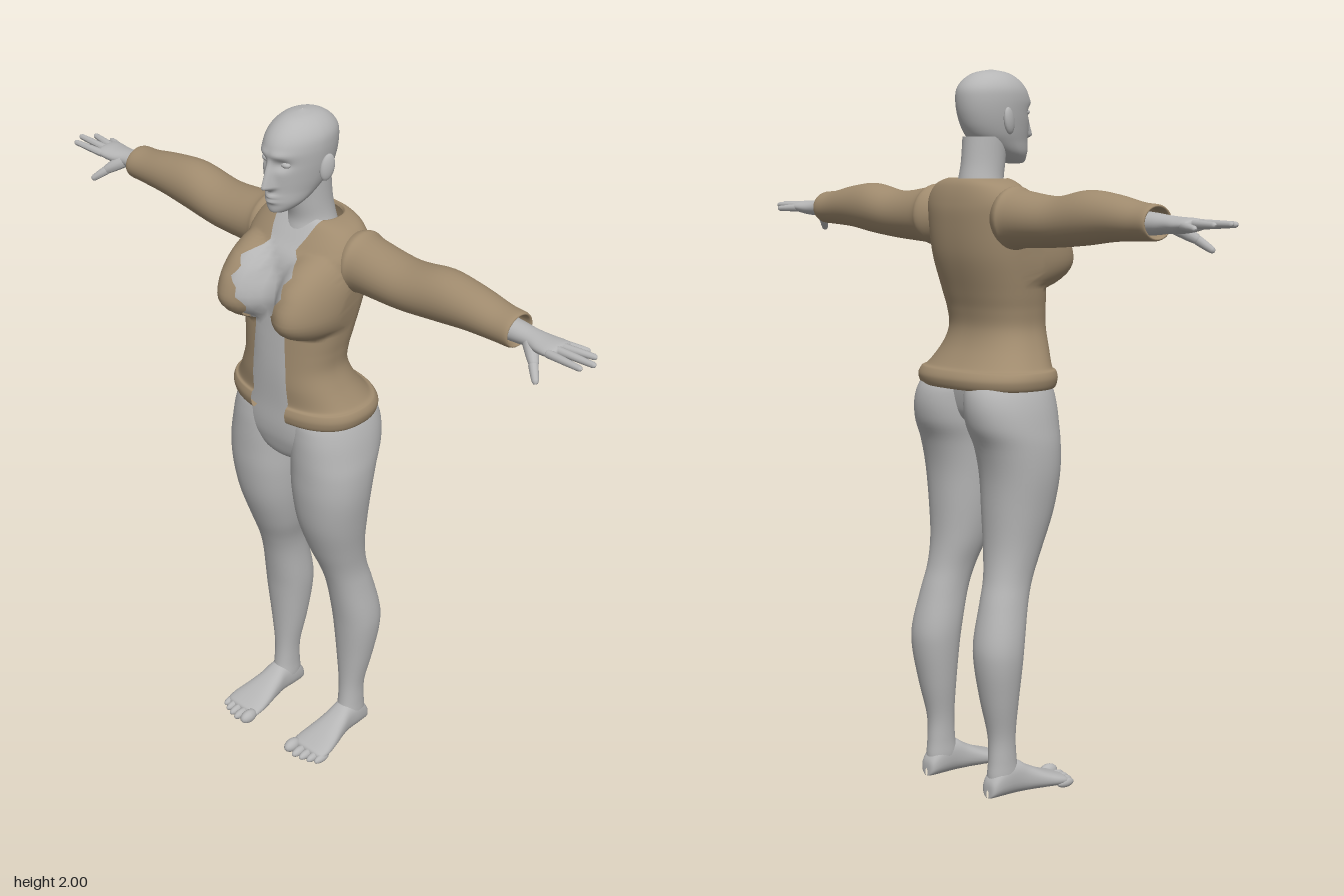
import * as THREE from 'three';
import { mergeVertices } from 'three/addons/utils/BufferGeometryUtils.js';

const skin = new THREE.MeshStandardMaterial({ color: 0xb6b6b6 });
skin.name = 'greySkin';
const cloth = new THREE.MeshStandardMaterial({ color: 0xa08b6e, side: THREE.DoubleSide });
cloth.name = 'tanCloth';

// Smooth surface through rows of numbers; point(row, t) places t = 0..1 around a section.
function loft(rows, point, n = 32, sub = 5) {
  const cr = (a, b, c, d, t) =>
    0.5 * (2 * b + (c - a) * t + (2 * a - 5 * b + 4 * c - d) * t * t + (3 * b - a - 3 * c + d) * t ** 3);
  const at = (i) => rows[Math.max(0, Math.min(rows.length - 1, i))];
  const pos = [], idx = [], count = (rows.length - 1) * sub;
  for (let k = 0; k <= count; k++) {
    const i = Math.min(Math.floor(k / sub), rows.length - 2), t = k / sub - i;
    const row = rows[0].map((_, c) => cr(at(i - 1)[c], at(i)[c], at(i + 1)[c], at(i + 2)[c], t));
    for (let j = 0; j <= n; j++) pos.push(...point(row, j / n));
  }
  for (let k = 0; k < count; k++) {
    for (let j = 0; j < n; j++) {
      const a = k * (n + 1) + j, b = a + n + 1;
      idx.push(a, a + 1, b + 1, a, b + 1, b);
    }
  }
  let g = new THREE.BufferGeometry();
  g.setAttribute('position', new THREE.Float32BufferAttribute(pos, 3));
  g.setIndex(idx);
  g = mergeVertices(g, 1e-5);
  g.computeVertexNormals();
  return g;
}

// Rounded-box-like ellipse: exponent 2 is an ellipse, larger is squarer.
const bend = (v, e) => Math.sign(v) * Math.abs(v) ** (2 / e);

// Upright section from [y, halfWidth, zFront, zBack], angle 0 at the front.
function ring([y, rx, zf, zb], a, e = 2) {
  return [rx * bend(Math.sin(a), e), y, (zf + zb) / 2 + ((zf - zb) / 2) * bend(Math.cos(a), e)];
}

// Rounded bust, fuller below than above
function bust([x, y, z], a) {
  if (Math.cos(a) < -0.1) return [x, y, z];
  const d = ((Math.abs(x) - 0.105) / 0.092) ** 2 + ((y - 1.49) / (y > 1.49 ? 0.15 : 0.08)) ** 2;
  const f = Math.max(0, 1 - d) ** 0.8;
  return [x + Math.sign(x) * 0.018 * f, y, z + 0.09 * f];
}

function flipX(g) {
  const m = g.clone();
  m.scale(-1, 1, 1);
  const ix = m.index.array;
  for (let i = 0; i < ix.length; i += 3) [ix[i], ix[i + 1]] = [ix[i + 1], ix[i]];
  m.computeVertexNormals();
  return m;
}

// Tapered rounded rod between two points, used for fingers
function rod(p, q, r0, r1) {
  const a = new THREE.Vector3(...p), b = new THREE.Vector3(...q), len = a.distanceTo(b);
  const prof = [[0.001, -r0], [r0 * 0.75, -r0 * 0.6], [r0, 0], [(r0 + r1) / 2, len / 2],
    [r1, len - r1], [r1 * 0.7, len - r1 * 0.3], [0.001, len]];
  const g = new THREE.LatheGeometry(prof.map((v) => new THREE.Vector2(...v)), 12);
  g.applyQuaternion(new THREE.Quaternion().setFromUnitVectors(new THREE.Vector3(0, 1, 0), b.clone().sub(a).normalize()));
  return g.translate(...p);
}

function ball(x, y, z, rx, ry, rz) {
  return new THREE.SphereGeometry(1, 16, 12).scale(rx, ry, rz).translate(x, y, z);
}

export function createModel() {
  const model = new THREE.Group();
  const add = (name, g, mat = skin) => {
    const m = new THREE.Mesh(g, mat);
    m.name = name;
    model.add(m);
  };
  const pair = (name, g, mat = skin) => {
    add('left' + name, g, mat);
    add('right' + name, flipX(g), mat);
  };
  const TAU = Math.PI * 2;

  // Jacket body, open down the front with a ragged edge
  const upper = [
    [1.25, 0.166, 0.117, -0.115], [1.3, 0.148, 0.117, -0.1], [1.35, 0.15, 0.115, -0.106],
    [1.4, 0.158, 0.112, -0.12], [1.5, 0.172, 0.105, -0.148], [1.6, 0.178, 0.085, -0.157],
    [1.65, 0.172, 0.052, -0.154], [1.69, 0.14, 0.022, -0.143], [1.708, 0.09, 0.008, -0.128]];
  const jacket = [
    [1.15, 0.185, 0.09, -0.145], [1.14, 0.208, 0.115, -0.17], [1.165, 0.218, 0.124, -0.179],
    [1.187, 0.212, 0.12, -0.168], [1.198, 0.197, 0.112, -0.15], ...upper, [1.7, 0.08, 0, -0.12]];
  const edge = [[1.1, 0.06], [1.2, 0.065], [1.3, 0.06], [1.42, 0.052], [1.44, 0.066], [1.455, 0.042],
    [1.48, 0.036], [1.5, 0.055], [1.53, 0.058], [1.55, 0.08], [1.575, 0.065], [1.6, 0.085],
    [1.625, 0.06], [1.64, 0.046], [1.67, 0.06], [1.72, 0.075]];
  const openAt = (y) => {
    const i = Math.max(1, edge.findIndex((e) => e[0] > y));
    const [y0, w0] = edge[i - 1], [y1, w1] = edge[i];
    return w0 + ((w1 - w0) * (y - y0)) / (y1 - y0);
  };
  add('jacketBody', loft(jacket, (row, t) => {
    const a0 = Math.asin(Math.min(0.98, openAt(row[0]) / row[1]) ** 1.2);
    const a = a0 + t * (TAU - 2 * a0);
    return bust(ring(row, a, 2.4), a);
  }, 80, 8), cloth);

  // Sleeves: [x, centre y, half height, centre z, half depth], turned in at the cuff
  const tube = ([x, cy, ry, cz, rz], t) => [x, cy + ry * Math.cos(t * TAU), cz + rz * Math.sin(t * TAU)];
  pair('Sleeve', loft([
    [0.13, 1.605, 0.07, -0.065, 0.065], [0.165, 1.605, 0.085, -0.067, 0.082], [0.2, 1.603, 0.077, -0.067, 0.078],
    [0.33, 1.6, 0.067, -0.064, 0.076], [0.45, 1.615, 0.071, -0.065, 0.07], [0.55, 1.617, 0.06, -0.064, 0.063],
    [0.64, 1.611, 0.049, -0.063, 0.055], [0.69, 1.61, 0.046, -0.063, 0.053], [0.692, 1.61, 0.038, -0.063, 0.044],
    [0.66, 1.61, 0.036, -0.063, 0.042]], tube, 32), cloth);

  // Torso and pelvis beneath the jacket
  add('torso', loft([
    [0.98, 0.01, 0.03, 0], [1.0, 0.08, 0.08, -0.04], [1.05, 0.18, 0.1, -0.1], [1.1, 0.198, 0.107, -0.12],
    [1.17, 0.188, 0.106, -0.125],
    ...upper.map(([y, rx, zf, zb]) => [y - 0.004, rx - 0.009, zf - 0.009, zb + 0.009])],
  (row, t) => bust(ring(row, t * TAU, 2.3), t * TAU).map((v, i) => (i === 2 ? v - 0.004 : v)), 64));

  // Neck
  add('neck', loft([[1.6, 0.085, 0.03, -0.12], [1.66, 0.075, 0.022, -0.12], [1.7, 0.061, 0.014, -0.115],
    [1.75, 0.056, 0.022, -0.106], [1.82, 0.056, 0.03, -0.1]], (r, t) => ring(r, t * TAU)));

  // Head with brow, nose, eye sockets, lips and chin shaped from the front
  const bell = (v, s) => Math.exp(-((v / s) ** 2));
  add('head', loft([
    [1.746, 0.004, 0.08, 0.07], [1.75, 0.026, 0.1, 0.03], [1.775, 0.05, 0.104, -0.02], [1.81, 0.063, 0.104, -0.075],
    [1.84, 0.071, 0.106, -0.1], [1.88, 0.078, 0.108, -0.115], [1.92, 0.081, 0.107, -0.12],
    [1.95, 0.077, 0.094, -0.115], [1.975, 0.061, 0.069, -0.094], [1.992, 0.036, 0.036, -0.062],
    [2.0, 0.001, -0.012, -0.014]], (r, t) => {
    const a = t * TAU;
    let [x, y, z] = ring(r, a, 2.1);
    if (Math.cos(a) > 0) {
      const ax = Math.abs(x);
      const slope = y < 1.825 ? bell(y - 1.825, 0.011) : Math.max(0, 1 - (y - 1.825) / 0.075);
      z += 0.031 * slope * bell(x, 0.008 + 0.007 * slope);
      z -= 0.013 * bell(ax - 0.034, 0.02) * bell(y - 1.886, 0.014);
      z += 0.005 * bell(ax - 0.03, 0.028) * bell(y - 1.912, 0.01);
      z += 0.009 * bell(x, 0.022) * (bell(y - 1.796, 0.006) + bell(y - 1.782, 0.006));
      x *= 1 - 0.1 * Math.cos(a);
    }
    return [x, y, z];
  }, 96, 8));
  pair('Eye', ball(0.033, 1.886, 0.08, 0.016, 0.009, 0.012));
  pair('Ear', ball(0, 0, 0, 0.011, 0.037, 0.021).rotateX(-0.2).rotateY(-0.3).translate(0.083, 1.862, -0.02));

  // Legs: [y, inner x, outer x, front z, back z]
  pair('Leg', loft([
    [0.02, 0.11, 0.16, -0.05, -0.125], [0.06, 0.1, 0.169, -0.036, -0.134], [0.11, 0.101, 0.168, -0.045, -0.13],
    [0.18, 0.098, 0.17, -0.05, -0.13], [0.28, 0.083, 0.188, -0.047, -0.152], [0.38, 0.071, 0.203, -0.039, -0.17],
    [0.45, 0.066, 0.204, -0.03, -0.17], [0.55, 0.066, 0.192, -0.01, -0.146], [0.62, 0.058, 0.187, 0.012, -0.126],
    [0.7, 0.036, 0.195, 0.045, -0.115], [0.8, 0.018, 0.212, 0.08, -0.115], [0.9, 0.008, 0.227, 0.097, -0.12],
    [0.98, 0.004, 0.23, 0.101, -0.138], [1.04, 0, 0.224, 0.102, -0.165], [1.1, 0, 0.213, 0.1, -0.173],
    [1.15, 0.002, 0.196, 0.09, -0.158], [1.19, 0.03, 0.17, 0.05, -0.11], [1.2, 0.09, 0.11, -0.02, -0.04]],
  ([y, xi, xo, zf, zb], t) => {
    const [x, , z] = ring([y, (xo - xi) / 2, zf, zb], t * TAU, 2.15);
    return [x + (xi + xo) / 2, y, z];
  }, 40));

  // Feet: [z, centre x, half width, top y]
  pair('Foot', loft([
    [-0.142, 0.135, 0.004, 0.03], [-0.136, 0.135, 0.026, 0.06], [-0.1, 0.135, 0.035, 0.1], [-0.05, 0.136, 0.036, 0.105],
    [-0.01, 0.137, 0.043, 0.083], [0.04, 0.139, 0.055, 0.06], [0.08, 0.14, 0.061, 0.046], [0.108, 0.139, 0.054, 0.036],
    [0.114, 0.139, 0.01, 0.022]], ([z, cx, w, top], t) => {
    const s = bend(Math.sin(t * TAU), 2.4);
    return [cx + w * bend(Math.cos(t * TAU), 2.4), 0.008 + ((top - 0.008) * (1 + s)) / 2, z];
  }));
  [[0.093, 0.122, 0.018], [0.123, 0.122, 0.013], [0.147, 0.117, 0.0125], [0.17, 0.109, 0.012], [0.191, 0.098, 0.012]]
    .forEach(([x, z, r], i) => pair('Toe' + (i + 1), ball(x, 0.004 + r * 1.1, z, r, r * 1.1, 0.03)));

  // Hands: wrist and palm, then fingers and thumb
  pair('Palm', loft([
    [0.6, 1.608, 0.034, -0.063, 0.036], [0.69, 1.607, 0.028, -0.063, 0.032], [0.735, 1.607, 0.023, -0.062, 0.031],
    [0.775, 1.606, 0.021, -0.06, 0.039], [0.81, 1.608, 0.018, -0.06, 0.043], [0.828, 1.609, 0.013, -0.061, 0.039],
    [0.833, 1.609, 0.002, -0.061, 0.01]], tube));
  [[[0.815, 1.608, -0.027], [0.922, 1.612, -0.018]], [[0.82, 1.612, -0.05], [0.938, 1.614, -0.052]],
    [[0.818, 1.611, -0.072], [0.915, 1.612, -0.088]], [[0.81, 1.606, -0.092], [0.875, 1.602, -0.115]]]
    .forEach(([p, q], i) => pair('Finger' + (i + 1), rod(p, q, 0.0115, 0.008)));
  pair('ThumbBase', rod([0.745, 1.6, -0.045], [0.79, 1.565, -0.008], 0.02, 0.013));
  pair('Thumb', rod([0.783, 1.569, -0.012], [0.815, 1.54, 0.016], 0.0125, 0.009));

  return model;
}
